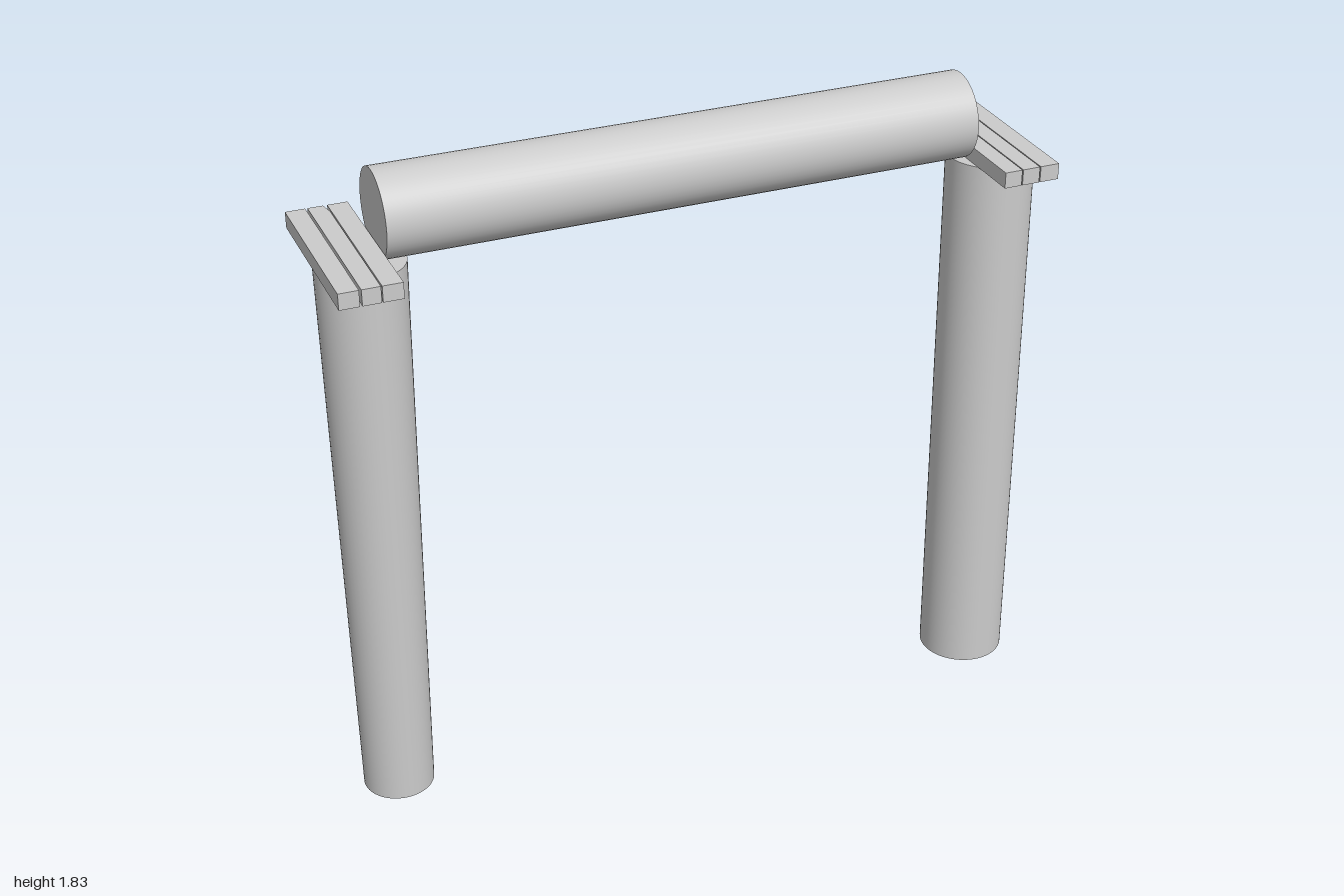
import * as THREE from 'three';

const material = new THREE.MeshStandardMaterial({ color: 0xcccccc });
const LEG_TOP = 1.6;

function addMesh(parent, name, geometry) {
  const mesh = new THREE.Mesh(geometry, material);
  mesh.name = name;
  parent.add(mesh);
  return mesh;
}

// Round post standing on the ground, leaning slightly from bottomX to topX
function addLeg(parent, name, topX, bottomX, z, topRadius, bottomRadius) {
  const geometry = new THREE.CylinderGeometry(topRadius, bottomRadius, LEG_TOP, 48);
  geometry.translate(0, LEG_TOP / 2, 0);
  const p = geometry.attributes.position;
  for (let i = 0; i < p.count; i++) {
    p.setX(i, p.getX(i) + THREE.MathUtils.lerp(bottomX, topX, p.getY(i) / LEG_TOP));
  }
  geometry.computeBoundingSphere();
  addMesh(parent, name, geometry).position.z = z;
}

// Narrow plank lying along z, optionally with a small nick in a back corner
function plankGeometry(x0, x1, nick) {
  const half = 0.245;
  const shape = new THREE.Shape();
  shape.moveTo(x0, -half);
  shape.lineTo(x1, -half);
  if (nick) {
    shape.lineTo(x1, half - 0.04);
    shape.lineTo(x1 - 0.008, half);
  } else {
    shape.lineTo(x1, half);
  }
  shape.lineTo(x0, half);
  shape.closePath();
  const geometry = new THREE.ExtrudeGeometry(shape, { depth: 0.044, bevelEnabled: false });
  return geometry.rotateX(-Math.PI / 2);
}

// Three planks side by side on top of a leg
function addPlanks(parent, name, edges) {
  const group = new THREE.Group();
  group.name = name;
  edges.forEach(([x0, x1], i) => {
    addMesh(group, 'plank', plankGeometry(x0, x1, i === 1)).position.y = LEG_TOP;
  });
  parent.add(group);
}

export function createModel() {
  const model = new THREE.Group();
  model.name = 'postAndBeamFrame';

  // Legs: a tapered one on the right, a straight one on the left
  addLeg(model, 'rightLeg', -0.881, -0.881, 0.006, 0.117, 0.097);
  addLeg(model, 'leftLeg', 0.87, 0.879, 0.012, 0.12, 0.12);

  // Plank caps
  addPlanks(model, 'rightPlanks', [[-1, -0.948], [-0.942, -0.894], [-0.891, -0.838]]);
  addPlanks(model, 'leftPlanks', [[0.786, 0.835], [0.838, 0.887], [0.89, 0.944]]);

  // Round crossbeam between the caps
  const beam = addMesh(model, 'crossbeam',
    new THREE.CylinderGeometry(0.117, 0.117, 1.61, 48).rotateZ(Math.PI / 2));
  beam.position.set(-0.03, 1.714, -0.008);

  return model;
}
